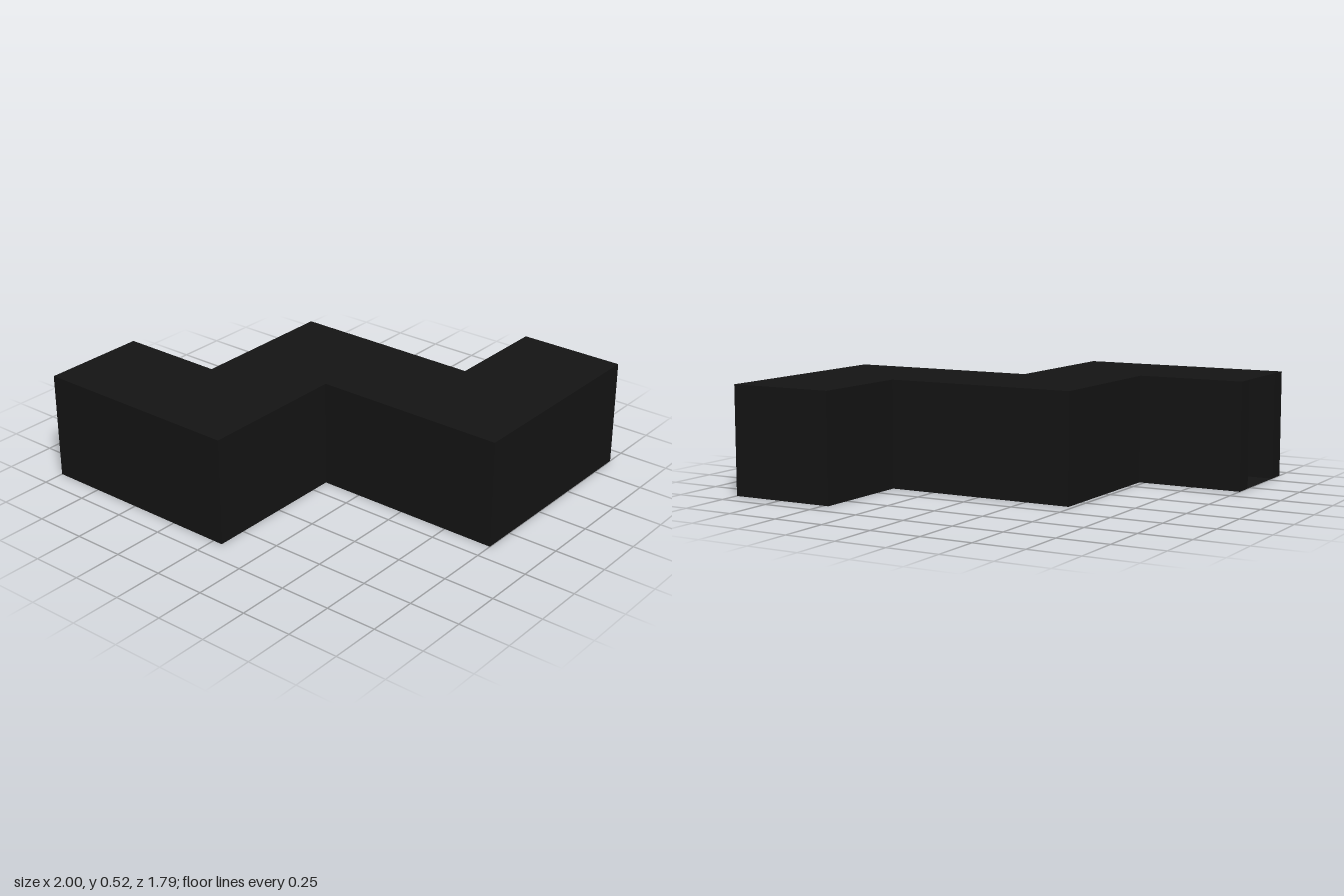
import * as THREE from 'three';

const HEIGHT = 0.525;

// Footprints as [x, z]; both start and end at the open mouth on x = -1
const outer = [
  [-1, 0.37], [-0.475, 0.37], [-0.475, -0.37], [0.475, -0.37], [0.475, -0.895],
  [1, -0.895], [1, 0.155], [0.05, 0.155], [0.05, 0.895], [-1, 0.895],
];
const inner = [
  [-1, 0.47], [-0.375, 0.47], [-0.375, -0.27], [0.575, -0.27], [0.575, -0.795],
  [0.9, -0.795], [0.9, 0.055], [-0.05, 0.055], [-0.05, 0.795], [-1, 0.795],
];

const toShape = (points) => new THREE.Shape(points.map(([x, z]) => new THREE.Vector2(x, -z)));

export function createModel() {
  const group = new THREE.Group();
  group.name = 'zigzagCorridor';
  const material = new THREE.MeshStandardMaterial({ color: 0x141414 });
  const thinMaterial = new THREE.MeshStandardMaterial({ color: 0x141414, side: THREE.DoubleSide });

  const add = (name, geometry, mat, y) => {
    geometry.rotateX(-Math.PI / 2);
    const mesh = new THREE.Mesh(geometry, mat);
    mesh.name = name;
    mesh.position.y = y;
    group.add(mesh);
  };

  // Thick walls following the zigzag, closed at the back end
  const wallShape = toShape([...outer, ...[...inner].reverse()]);
  add('walls', new THREE.ExtrudeGeometry(wallShape, { depth: HEIGHT, bevelEnabled: false }), material, 0);

  // Thin floor and ceiling between the walls
  add('floor', new THREE.ShapeGeometry(toShape(inner)), thinMaterial, 0);
  add('ceiling', new THREE.ShapeGeometry(toShape(inner)), thinMaterial, HEIGHT);

  return group;
}
